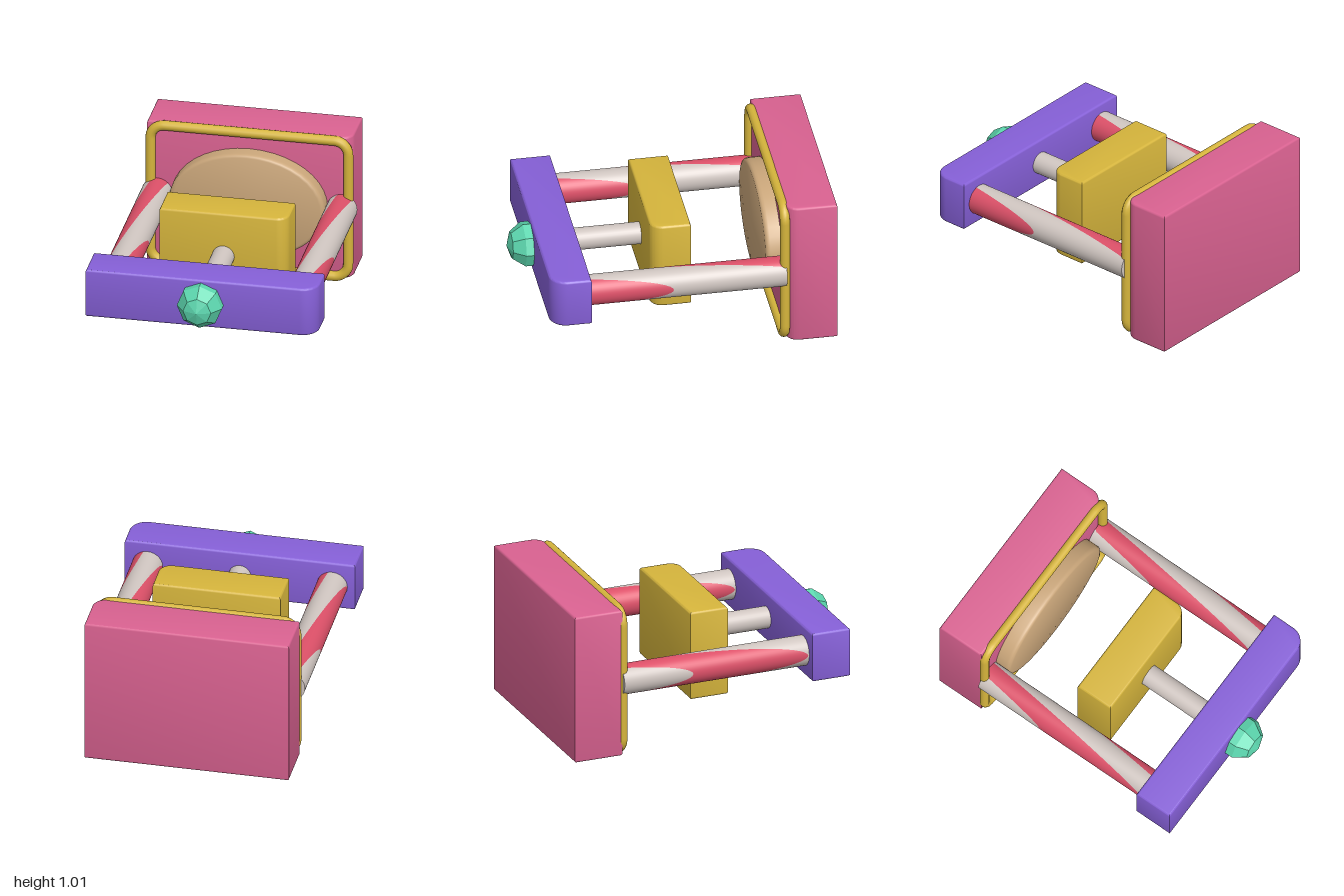
import * as THREE from 'three';
import { toCreasedNormals } from 'three/addons/utils/BufferGeometryUtils.js';

const MID = 0.507; // height of the central axis

function material(name, color, extra = {}) {
  const m = new THREE.MeshStandardMaterial({ color, ...extra });
  m.name = name;
  return m;
}

// Block with softened edges and one generously rounded upright edge at +x +z
function block([x0, x1], [y0, y1], [z0, z1], corner) {
  const b = 0.015;
  const l = x0 + b, r = x1 - b, back = -(z0 + b), front = -(z1 - b);
  const c = corner - b;
  const shape = new THREE.Shape();
  shape.moveTo(l, front);
  shape.lineTo(r - c, front);
  shape.absarc(r - c, front + c, c, -Math.PI / 2, 0, false);
  shape.lineTo(r, back);
  shape.lineTo(l, back);
  shape.closePath();
  const geo = new THREE.ExtrudeGeometry(shape, {
    depth: y1 - y0 - 2 * b, bevelThickness: b, bevelSize: b, bevelSegments: 3, curveSegments: 8,
  });
  geo.rotateX(-Math.PI / 2).translate(0, y0 + b, 0);
  return toCreasedNormals(geo, 0.6);
}

// Closed rounded-rectangle path for the frame
function framePath(w, h, r) {
  const path = new THREE.CurvePath();
  const v = (x, y) => new THREE.Vector3(x, y, 0);
  const k = r * 0.448; // handle offset giving a near-circular corner
  const corners = [[1, 1], [-1, 1], [-1, -1], [1, -1]];
  corners.forEach(([sx, sy], i) => {
    const X = sx * w, Y = sy * h;
    const onSide = v(X, Y - sy * r), onCap = v(X - sx * r, Y);
    const sideHandle = v(X, Y - sy * k), capHandle = v(X - sx * k, Y);
    const first = i % 2 === 0;
    const [a, ha, hb, e] = first
      ? [onSide, sideHandle, capHandle, onCap]
      : [onCap, capHandle, sideHandle, onSide];
    path.add(new THREE.CubicBezierCurve3(a, ha, hb, e));
    const [nx, ny] = corners[(i + 1) % 4];
    const next = first ? v(nx * (w - r), ny * h) : v(nx * w, ny * (h - r));
    path.add(new THREE.LineCurve3(e, next));
  });
  return path;
}

// One diagonal band of a rod: a tube whose two rims are slanted and clamped to the rod's ends
function rodBand(radius, u0, u1, z0, z1) {
  const slope = 0.133;
  const geo = new THREE.CylinderGeometry(radius, radius, 1, 48, 1, true);
  geo.rotateX(Math.PI / 2);
  const p = geo.attributes.position;
  for (let i = 0; i < p.count; i++) {
    const u = p.getZ(i) > 0 ? u1 : u0;
    p.setZ(i, THREE.MathUtils.clamp((u - p.getX(i)) / slope, z0, z1));
  }
  return geo;
}

export function createModel() {
  const model = new THREE.Group();
  const pink = material('pink', 0xda6291);
  const yellow = material('yellow', 0xd6b53c);
  const purple = material('purple', 0x8660d8);
  const green = material('green', 0x5cd6ae, { flatShading: true });
  const tan = material('tan', 0xcaa67a);
  const white = material('off white', 0xd0c6c1);
  const red = material('red', 0xdc5068);

  const add = (name, geo, mat, x = 0, y = 0, z = 0, parent = model) => {
    const mesh = new THREE.Mesh(geo, mat);
    mesh.name = name;
    mesh.position.set(x, y, z);
    parent.add(mesh);
    return mesh;
  };

  // Main blocks
  add('backBox', block([-0.657, 0.657], [0.015, 1.0], [-1, -0.677], 0.08), pink);
  add('centreBlock', block([-0.41, 0.41], [0.21, 0.8], [-0.11, 0.145], 0.08), yellow);
  add('frontBar', block([-0.74, 0.74], [0.345, 0.67], [0.582, 0.84], 0.11), purple);

  // Frame around the front of the back box
  add('frame', new THREE.TubeGeometry(framePath(0.634, 0.472, 0.09), 260, 0.032, 12, true),
    yellow, 0, MID, -0.668);

  // Oval pad with a rounded rim
  const pad = new THREE.LatheGeometry([
    [0.5, 0], [0.5, 0.075], [0.496, 0.09], [0.487, 0.1], [0.472, 0.105], [0, 0.105],
  ].map(([r, y]) => new THREE.Vector2(r, y)), 40);
  pad.rotateX(Math.PI / 2).scale(1, 0.716, 1);
  add('ovalPad', toCreasedNormals(pad, 0.6), tan, 0, MID, -0.68);

  // Striped side rods
  const radius = 0.0975, zBack = -0.675, zFront = 0.6;
  const limits = [-1, -0.125, -0.021, 0.104, 1];
  for (const [side, x] of [['left', 0.593], ['right', -0.593]]) {
    const rod = new THREE.Group();
    rod.name = side + 'Rod';
    rod.position.set(x, MID, 0);
    model.add(rod);
    for (let i = 0; i < 4; i++) {
      add(side + 'RodBand' + (i + 1), rodBand(radius, limits[i], limits[i + 1], zBack, zFront),
        i % 2 ? red : white, 0, 0, 0, rod);
    }
    const cap = new THREE.CircleGeometry(radius, 48);
    add(side + 'RodFrontCap', cap, white, 0, 0, zFront, rod);
    add(side + 'RodBackCap', cap, white, 0, 0, zBack, rod).rotation.y = Math.PI;
  }

  // Plain centre rod
  const shaft = new THREE.CylinderGeometry(0.071, 0.071, 0.5, 32);
  shaft.rotateX(Math.PI / 2);
  add('centreRod', shaft, white, 0, MID, 0.365);

  // Faceted knob
  const knob = new THREE.SphereGeometry(0.152, 8, 5);
  knob.rotateX(Math.PI / 2);
  add('knob', knob, green, 0, MID, 0.843);

  // Three flattened buttons under the centre block
  for (const [name, x, rx, ry, rz] of [
    ['middleButton', 0, 0.08, 0.035, 0.085],
    ['leftButton', 0.15, 0.05, 0.026, 0.05],
    ['rightButton', -0.15, 0.05, 0.026, 0.05],
  ]) {
    const button = new THREE.SphereGeometry(1, 10, 6);
    button.scale(rx, ry, rz);
    add(name, button, pink, x, 0.21, 0.025);
  }

  return model;
}
